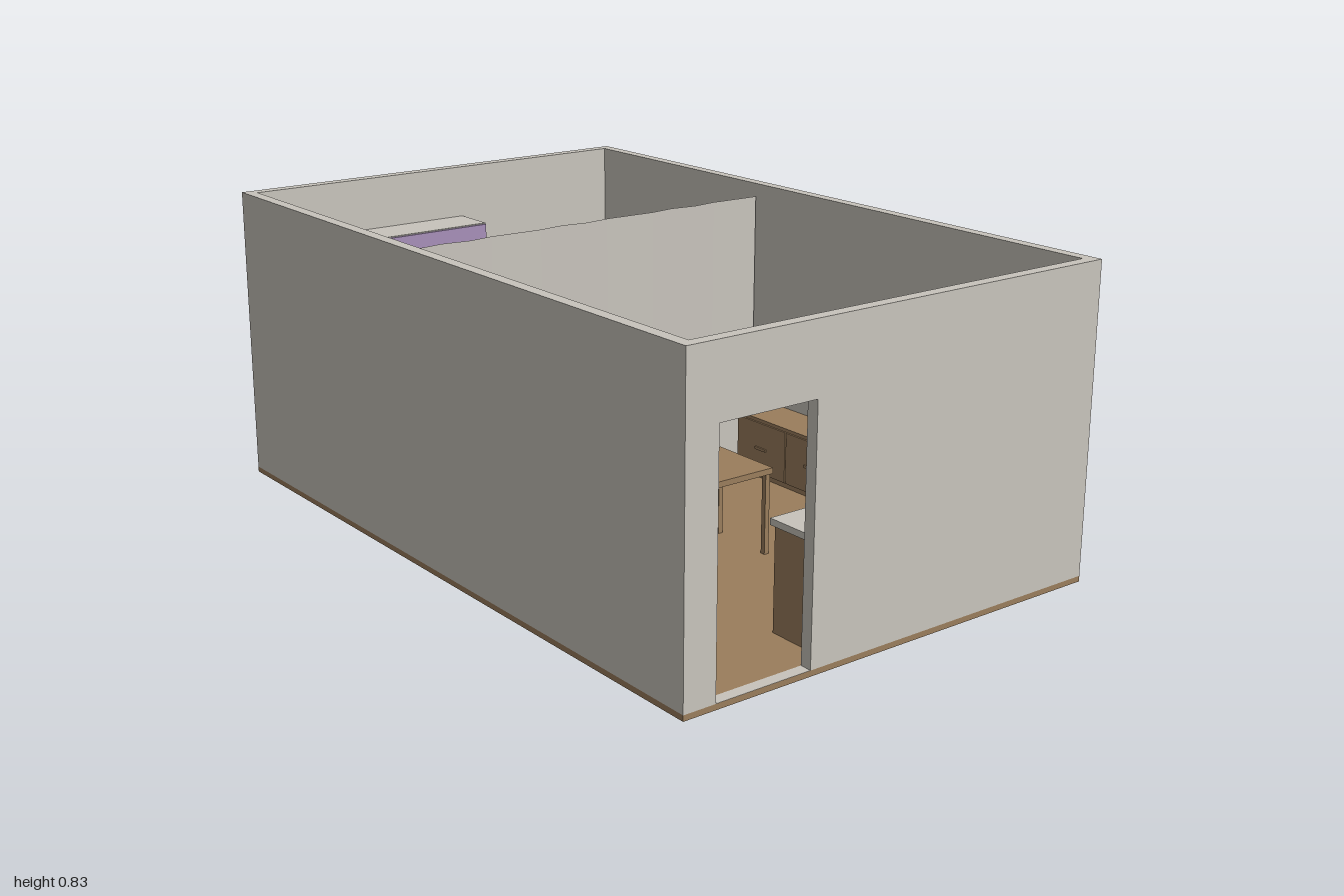
import * as THREE from 'three';

const mat = (name, color, extra = {}) => {
  const m = new THREE.MeshStandardMaterial({ color, ...extra });
  m.name = name;
  return m;
};

export function createModel() {
  const model = new THREE.Group();
  model.name = 'studioRoom';
  const plaster = mat('plaster', 0xc8c4bc);
  const cloth = mat('curtainCloth', 0xc8c4bc, { side: THREE.DoubleSide });
  const wood = mat('wood', 0x9a7d5c);
  const glass = mat('glass', 0x82a9c6);
  const blue = mat('blanketBlue', 0x8098c0);
  const purple = mat('purpleFront', 0xa78fb8);
  const black = mat('hobBlack', 0x222222);

  const group = (name) => {
    const g = new THREE.Group();
    g.name = name;
    model.add(g);
    return g;
  };
  // Box given by its extents on each axis
  const box = (parent, name, m, x0, x1, y0, y1, z0, z1) => {
    const mesh = new THREE.Mesh(new THREE.BoxGeometry(x1 - x0, y1 - y0, z1 - z0), m);
    mesh.position.set((x0 + x1) / 2, (y0 + y1) / 2, (z0 + z1) / 2);
    mesh.name = name;
    parent.add(mesh);
    return mesh;
  };

  const X = 0.635, T = 0.032, H = 0.83, F = 0.015;
  const XI = X - T, ZI = 1 - T;

  // Floor and plain walls
  box(model, 'floor', wood, -X, X, 0, F, -1, 1);
  const walls = group('walls');
  box(walls, 'backWall', plaster, -X, X, F, H, -1, -ZI);
  box(walls, 'rightWall', plaster, -X, -XI, F, H, -ZI, ZI);

  // Wall with a rectangular opening, drawn in the local xy plane
  const holedWall = (name, u0, u1, h) => {
    const s = new THREE.Shape([[u0, F], [u1, F], [u1, H], [u0, H]].map(p => new THREE.Vector2(...p)));
    s.holes.push(new THREE.Path([[h[0], h[2]], [h[0], h[3]], [h[1], h[3]], [h[1], h[2]]]
      .map(p => new THREE.Vector2(...p))));
    const mesh = new THREE.Mesh(new THREE.ExtrudeGeometry(s, { depth: T, bevelEnabled: false }), plaster);
    mesh.name = name;
    walls.add(mesh);
    return mesh;
  };
  // Front wall with doorway
  const front = holedWall('frontWall', -X, X, [-0.545, -0.272, F + 0.0005, 0.65]);
  front.position.z = ZI;
  // Left wall with window (local x runs along -z)
  const side = holedWall('leftWall', -ZI, ZI, [0.30, 0.72, 0.285, 0.65]);
  side.rotation.y = Math.PI / 2;
  side.position.x = XI;
  box(model, 'windowPane', glass, XI + 0.012, XI + 0.02, 0.285, 0.65, -0.72, -0.30);

  // Pleated dividing curtain
  const n = 16;
  const curtainGeo = new THREE.PlaneGeometry(1.195, 0.775, n, 1);
  const p = curtainGeo.attributes.position;
  for (let i = 0; i < p.count; i++) {
    p.setZ(i, 0.006 * Math.sin((i % (n + 1)) * Math.PI * 0.8));
  }
  const flat = curtainGeo.toNonIndexed();
  flat.computeVertexNormals();
  const curtain = new THREE.Mesh(flat, cloth);
  curtain.name = 'dividerCurtain';
  curtain.position.set(-0.005, F + 0.005 + 0.775 / 2, -0.222);
  model.add(curtain);

  // Bed
  const bed = group('bed');
  box(bed, 'bedFrame', wood, -0.375, 0.04, F, 0.1, -0.832, -0.234);
  box(bed, 'mattress', plaster, -0.37, 0.035, 0.1, 0.175, -0.828, -0.242);
  box(bed, 'blanket', blue, -0.374, 0.039, 0.11, 0.182, -0.695, -0.238);
  for (const x of [-0.355, -0.164]) {
    box(bed, 'pillow', plaster, x, x + 0.187, 0.175, 0.205, -0.815, -0.71);
  }

  // Tall cabinet at the head of the bed
  const cabinet = group('bedCabinet');
  box(cabinet, 'cabinetBody', plaster, -0.405, 0.068, F, 0.68, -ZI, -0.84);
  box(cabinet, 'cabinetFront', purple, -0.403, 0.066, 0.04, 0.677, -0.84, -0.833);

  // Wardrobe beside the doorway
  const wardrobe = group('wardrobe');
  box(wardrobe, 'wardrobePlinth', plaster, -XI, -0.52, F, 0.04, 0.395, 0.655);
  box(wardrobe, 'wardrobeBody', plaster, -XI, -0.506, 0.04, 0.68, 0.39, 0.66);
  for (const z of [0.392, 0.526]) {
    box(wardrobe, 'wardrobeDoor', purple, -0.506, -0.501, 0.042, 0.677, z, z + 0.132);
  }
  for (const z of [0.512, 0.533]) {
    box(wardrobe, 'wardrobeHandle', plaster, -0.501, -0.497, 0.24, 0.33, z, z + 0.005);
  }

  // Sofa
  const sofa = group('sofa');
  box(sofa, 'sofaBase', wood, -XI, -0.335, F, 0.09, -0.19, 0.325);
  box(sofa, 'sofaBack', wood, -XI, -0.545, F, 0.285, -0.228, 0.37);
  for (const z of [-0.228, 0.325]) {
    box(sofa, 'sofaArm', wood, -0.545, -0.332, F, 0.205, z, z + 0.042);
  }
  for (let i = 0; i < 3; i++) {
    const z = -0.186 + i * 0.1703;
    box(sofa, 'seatCushion', wood, -0.545, -0.332, 0.09, 0.14, z + 0.001, z + 0.169);
  }

  // Tables: a top on four legs
  const table = (name, x0, x1, z0, z1, h) => {
    const g = group(name), l = 0.014;
    box(g, 'tableTop', wood, x0, x1, h - 0.016, h, z0, z1);
    for (const x of [x0 + 0.005, x1 - l - 0.005]) {
      for (const z of [z0 + 0.005, z1 - l - 0.005]) {
        box(g, 'tableLeg', wood, x, x + l, F, h - 0.016, z, z + l);
      }
    }
  };
  table('coffeeTable', -0.212, -0.064, -0.05, 0.19, 0.14);
  table('diningTable', -0.122, 0.116, 0.21, 0.42, 0.25);

  // Low sideboard
  const sideboard = group('sideboard');
  box(sideboard, 'sideboardBody', wood, 0.475, XI, F, 0.19, -0.14, 0.28);
  for (const z of [-0.137, 0.072]) {
    box(sideboard, 'sideboardDoor', wood, 0.47, 0.475, 0.03, 0.18, z, z + 0.205);
    box(sideboard, 'sideboardHandle', wood, 0.466, 0.47, 0.1, 0.108, z + 0.08, z + 0.125);
  }

  // Kitchen counter with hob and sink
  const kitchen = group('kitchen');
  box(kitchen, 'kitchenBase', wood, -0.205, 0.39, F, 0.283, 0.795, ZI);
  box(kitchen, 'worktop', plaster, -0.212, 0.39, 0.283, 0.3, 0.785, ZI);
  box(kitchen, 'hob', black, -0.02, 0.135, 0.3, 0.305, 0.792, 0.95);
  for (const x of [0.02, 0.095]) {
    for (const z of [0.832, 0.91]) {
      const ring = new THREE.Mesh(new THREE.CylinderGeometry(0.025, 0.025, 0.003, 20), black);
      ring.name = 'burner';
      ring.position.set(x, 0.3065, z);
      kitchen.add(ring);
    }
  }
  // Raised rim around the sink
  box(kitchen, 'sinkRim', plaster, 0.19, 0.345, 0.3, 0.31, 0.82, 0.828);
  box(kitchen, 'sinkRim', plaster, 0.19, 0.345, 0.3, 0.31, 0.917, 0.925);
  for (const x of [0.19, 0.337]) {
    box(kitchen, 'sinkRim', plaster, x, x + 0.008, 0.3, 0.31, 0.828, 0.917);
  }

  // Fridge
  const fridge = group('fridge');
  box(fridge, 'fridgeBody', plaster, 0.392, XI, F, 0.575, 0.768, ZI);
  box(fridge, 'fridgeDoor', plaster, 0.394, XI - 0.002, 0.03, 0.572, 0.76, 0.768);

  return model;
}
